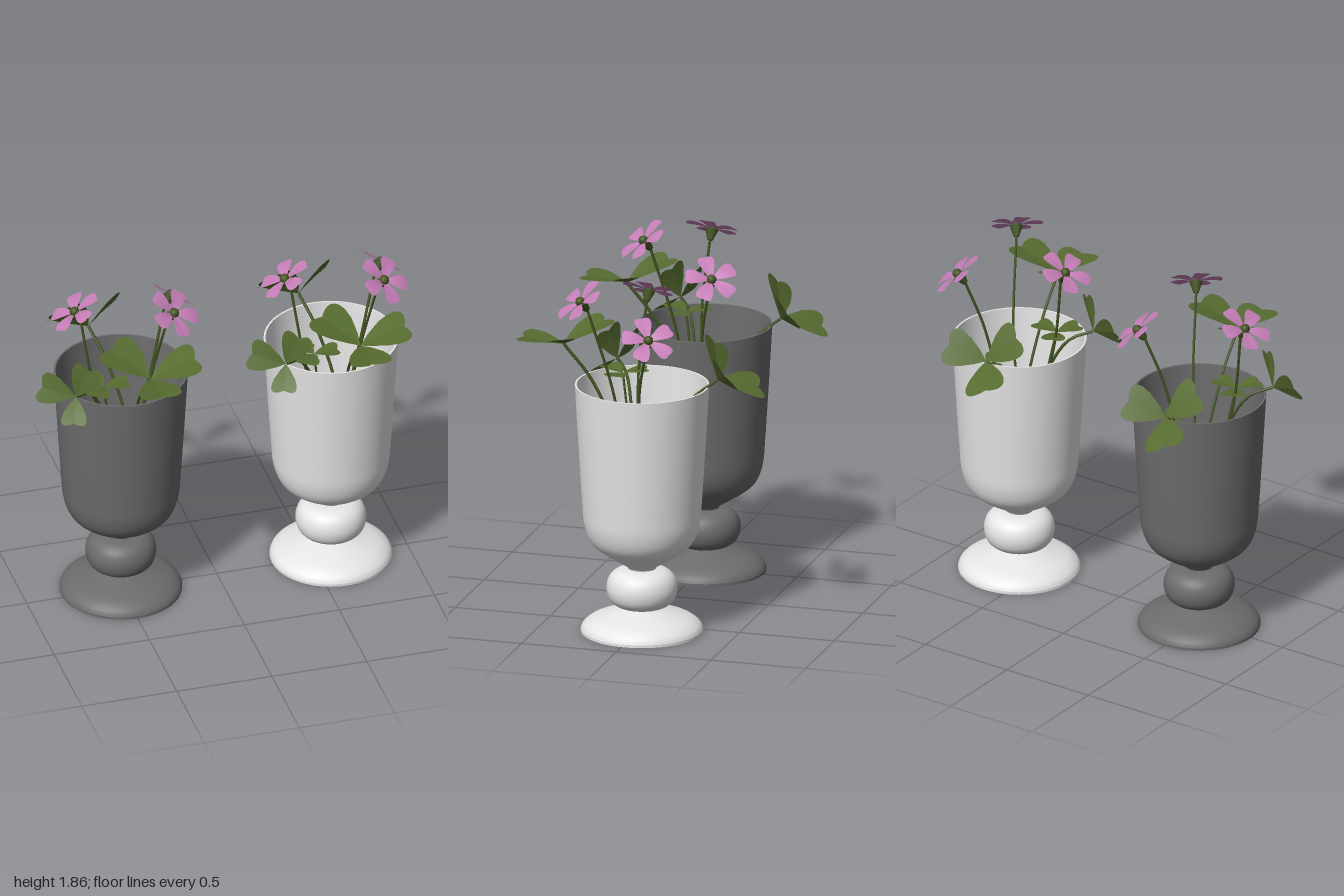
import * as THREE from 'three';
import { ParametricGeometry } from 'three/addons/geometries/ParametricGeometry.js';

const V = (x, y, z) => new THREE.Vector3(x, y, z);
const mat = (name, color, side = THREE.FrontSide) => {
  const m = new THREE.MeshStandardMaterial({ color, side });
  m.name = name;
  return m;
};

export function createModel() {
  const darkClay = mat('darkGrey', 0x6c6c6c);
  const paleClay = mat('white', 0xe6e6e6);
  const leafGreen = mat('leafGreen', 0x566b30, THREE.DoubleSide);
  const stemGreen = mat('stemGreen', 0x435522);
  const petalPink = mat('petalPink', 0xc67eb8, THREE.DoubleSide);

  const add = (parent, name, geo, material) => {
    const mesh = new THREE.Mesh(geo, material);
    mesh.name = name;
    parent.add(mesh);
    return mesh;
  };

  // Turned surface through smooth [radius, height] points
  const turned = (pts, smooth = true) => {
    const v = pts.map(([r, y]) => new THREE.Vector2(r, y));
    return new THREE.LatheGeometry(smooth ? new THREE.SplineCurve(v).getPoints(pts.length * 4) : v, 64);
  };

  // Heart-shaped blade growing from the origin along +z, facing +y
  const blade = (length, spread, notch, fold, droop) => new ParametricGeometry((a, b, out) => {
    const u = a * 2 - 1, k = Math.abs(u);
    const r = b * (1 - 0.75 * k ** 5) * (1.05 - notch * (1 - Math.sin(k * Math.PI / 2)));
    const x = r * Math.sin(u * spread), z = r * Math.cos(u * spread);
    out.set(x * length, (fold * Math.abs(x) - droop * r * r + droop * r) * length, z * length);
  }, 20, 6);

  // Turn an object so +z follows dir and +y leans towards up
  const aim = (obj, dir, up) => {
    const z = dir.clone().normalize();
    const x = new THREE.Vector3().crossVectors(up, z).normalize();
    const y = new THREE.Vector3().crossVectors(z, x);
    obj.quaternion.setFromRotationMatrix(new THREE.Matrix4().makeBasis(x, y, z));
  };

  const stalk = (parent, name, pts, radius) =>
    add(parent, name, new THREE.TubeGeometry(new THREE.CatmullRomCurve3(pts), 24, radius, 6), stemGreen);

  // Goblet-shaped vase
  const buildVase = (clay) => {
    const vase = new THREE.Group();
    vase.name = 'vase';
    const under = add(vase, 'footUnderside', new THREE.CircleGeometry(0.31, 64), clay);
    under.rotation.x = Math.PI / 2;
    add(vase, 'footEdge', turned([[0.31, 0], [0.31, 0.014]], false), clay);
    add(vase, 'foot', turned([[0.31, 0.014], [0.295, 0.04], [0.25, 0.07], [0.16, 0.1], [0.07, 0.128]]), clay);
    add(vase, 'stemBulb', turned([[0.07, 0.125], [0.125, 0.136], [0.165, 0.17], [0.18, 0.228],
      [0.165, 0.286], [0.125, 0.32], [0.07, 0.33]]), clay);
    add(vase, 'bowl', turned([[0.07, 0.325], [0.085, 0.347], [0.2, 0.42], [0.26, 0.475], [0.292, 0.56],
      [0.303, 0.68], [0.32, 0.95], [0.34, 1.3]]), clay);
    add(vase, 'rim', turned([[0.34, 1.3], [0.33, 1.3]], false), clay);
    add(vase, 'bowlInside', turned([[0.33, 1.3], [0.31, 0.95], [0.293, 0.68], [0.282, 0.57], [0.25, 0.49],
      [0.19, 0.435], [0.08, 0.4], [0.0, 0.39]]), clay);
    return vase;
  };

  // Three-lobed leaf: joint position, lobe tip offsets, facing
  const buildLeaf = (parent, name, joint, tips, up, spread = 0.72) => {
    const leaf = new THREE.Group();
    leaf.name = name;
    leaf.position.copy(joint);
    tips.forEach((tip) => {
      const lobe = add(leaf, 'leafLobe', blade(tip.length(), spread, 0.2, 0.1, 0.08), leafGreen);
      aim(lobe, tip, up);
    });
    parent.add(leaf);
  };

  // Five-petalled flower facing along normal
  const buildFlower = (parent, name, centre, normal) => {
    const flower = new THREE.Group();
    flower.name = name;
    flower.position.copy(centre);
    flower.quaternion.setFromUnitVectors(V(0, 1, 0), normal.clone().normalize());
    for (let i = 0; i < 5; i++) {
      const a = i * Math.PI * 0.4 + 0.3;
      const petal = add(flower, 'petal', blade(0.135, 0.5, 0.06, 0.05, 0.25), petalPink);
      aim(petal, V(Math.sin(a), 0.1, Math.cos(a)), V(0, 1, 0));
    }
    const calyx = add(flower, 'calyx', new THREE.CylinderGeometry(0.034, 0.014, 0.055, 10), stemGreen);
    calyx.position.y = -0.026;
    const throat = add(flower, 'flowerCentre', new THREE.SphereGeometry(0.025, 12, 8), stemGreen);
    throat.position.y = 0.01;
    parent.add(flower);
  };

  const buildPlant = () => {
    const plant = new THREE.Group();
    plant.name = 'plant';
    const root = V(0.02, 0.42, 0);

    // Large leaves and their stalks
    const front = V(0.04, 1.49, 0.4), back = V(-0.06, 1.34, -0.38), side = V(-0.3, 1.33, 0.22);
    buildLeaf(plant, 'frontLeaf', front, [V(-0.18, 0.11, -0.2), V(0.27, 0.09, 0.01), V(0, 0.02, 0.25)], V(0, 1, 0.1));
    buildLeaf(plant, 'backLeaf', back, [V(0.2, 0.09, -0.1), V(-0.14, -0.07, -0.21), V(-0.17, 0.17, 0.07)], V(-0.1, 0.65, -0.75), 0.66);
    buildLeaf(plant, 'sideLeaf', side, [V(-0.19, 0.07, -0.06), V(0.07, 0.19, 0.03), V(-0.05, -0.1, 0.13)], V(-0.35, 0.45, 0.8), 0.62);
    stalk(plant, 'frontLeafStalk', [root, V(0.03, 0.9, 0.08), V(0.03, 1.3, 0.25), front], 0.008);
    stalk(plant, 'backLeafStalk', [root, V(0.06, 0.9, -0.1), V(-0.01, 1.22, -0.24), back], 0.008);
    stalk(plant, 'sideLeafStalk', [root, V(-0.06, 0.95, 0.06), V(-0.2, 1.28, 0.14), side], 0.008);

    // Small young leaves
    [[V(-0.11, 1.12, -0.16), 0.1, 0.4], [V(-0.13, 1.31, 0.14), 0.14, 1.5], [V(0.2, 1.1, 0.0), 0.1, 0.1]].forEach(([joint, size, turn]) => {
      const tips = [0, 1, 2].map((i) => {
        const a = turn + i * Math.PI * 2 / 3;
        return V(Math.sin(a), 0.1, Math.cos(a)).multiplyScalar(size);
      });
      buildLeaf(plant, 'youngLeaf', joint, tips, V(0, 1, 0));
      stalk(plant, 'youngLeafStalk', [root, V(joint.x * 0.4, 0.8, joint.z * 0.4), joint], 0.006);
    });

    // Flowers and their stems
    [['leftFlower', V(-0.25, 1.715, 0.04), V(-0.5, 0.85, -0.05), V(-0.17, 1.3, 0.07)],
      ['frontFlower', V(0.2, 1.765, 0.26), V(0.38, 0.75, 0.5), V(0.12, 1.3, 0.12)],
      ['rightFlower', V(0.29, 1.62, -0.12), V(0.55, 0.75, -0.3), V(0.18, 1.3, -0.04)],
    ].forEach(([name, centre, normal, middle]) => {
      const base = centre.clone().addScaledVector(normal.clone().normalize(), -0.05);
      buildFlower(plant, name, centre, normal);
      stalk(plant, name + 'Stem', [root, V(middle.x * 0.45, 0.85, middle.z * 0.5), middle, base], 0.007);
    });
    return plant;
  };

  // Two matching arrangements
  const model = new THREE.Group();
  model.name = 'pottedFlowers';
  [['darkArrangement', darkClay, -0.5], ['whiteArrangement', paleClay, 0.605]].forEach(([name, clay, x]) => {
    const arrangement = new THREE.Group();
    arrangement.name = name;
    arrangement.position.set(x, 0, -0.017);
    arrangement.add(buildVase(clay), buildPlant());
    model.add(arrangement);
  });
  return model;
}
